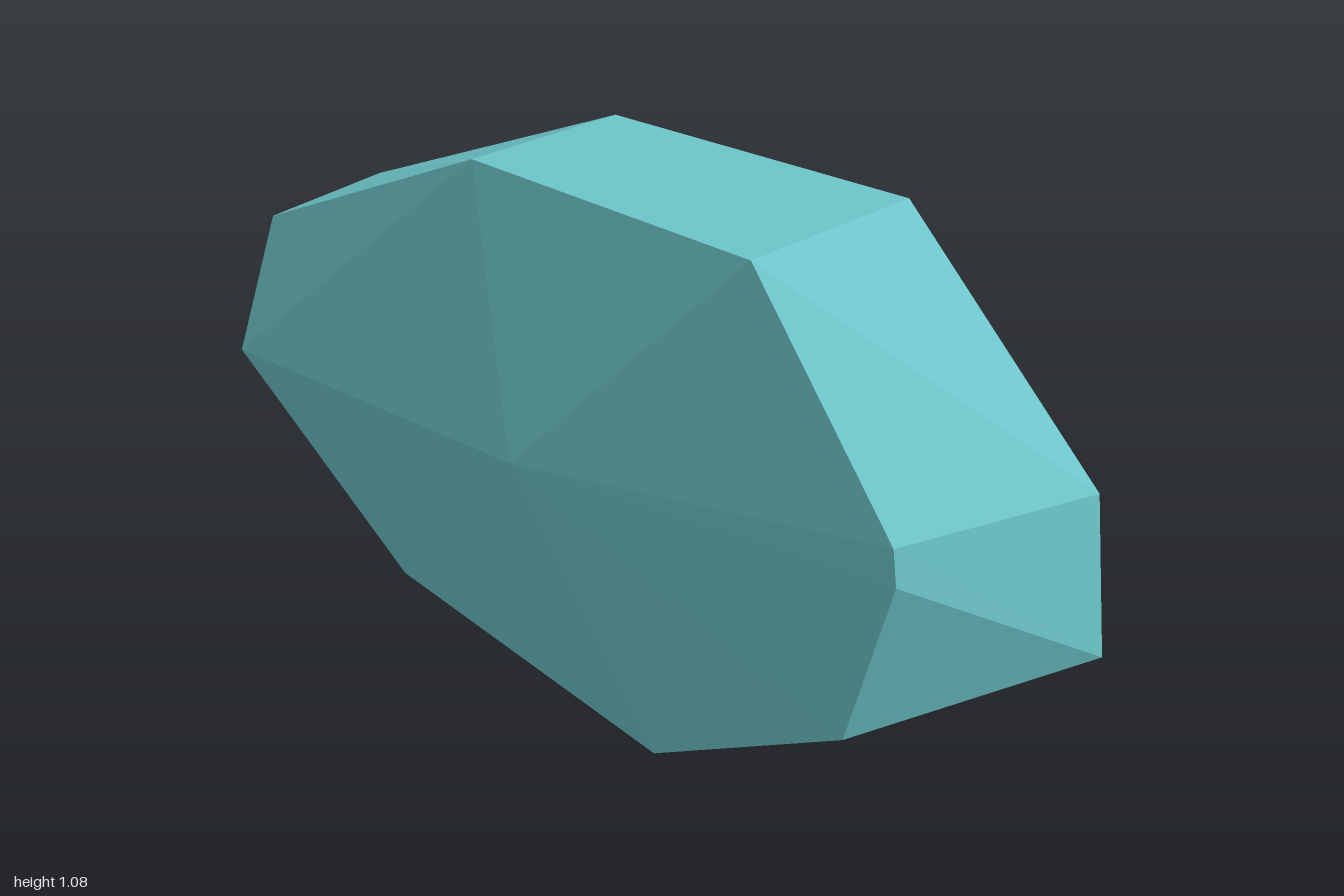
import * as THREE from 'three';
import { ConvexGeometry } from 'three/addons/geometries/ConvexGeometry.js';

export function createModel() {
  const group = new THREE.Group();
  group.name = 'gemStone';
  const teal = new THREE.MeshStandardMaterial({ color: 0x6cc4c8 });
  teal.name = 'teal stone';

  // Front rim, running round from the upper left
  const frontRim = [
    [-0.98, 0.775, 0.06], [-0.955, 0.5, 0.19], [-0.49, 0.09, 0.142], [0.3, 0, 0.2],
    [0.75, 0.22, 0.188], [0.85, 0.57, 0.19], [0.84, 0.643, 0.19],
    [0.5, 1.08, 0.183], [-0.255, 1.083, 0.13],
  ];
  // Back rim
  const backRim = [
    [-1, 0.79, -0.272], [-0.98, 0.52, -0.275], [-0.49, 0.003, -0.278], [0.3, 0, -0.277],
    [1, 0.3, -0.267], [0.955, 0.62, -0.278], [0.5, 1.08, -0.272], [-0.255, 1.083, -0.278],
  ];
  // Shallow peaks in the middle of the front and back
  const peaks = [[0.01, 0.573, 0.3], [0.01, 0.573, -0.3]];

  // Flat-faced hull through the rims and peaks
  const points = [...frontRim, ...backRim, ...peaks].map((p) => new THREE.Vector3(...p));
  const stone = new THREE.Mesh(new ConvexGeometry(points), teal);
  stone.name = 'stone';
  group.add(stone);
  return group;
}
